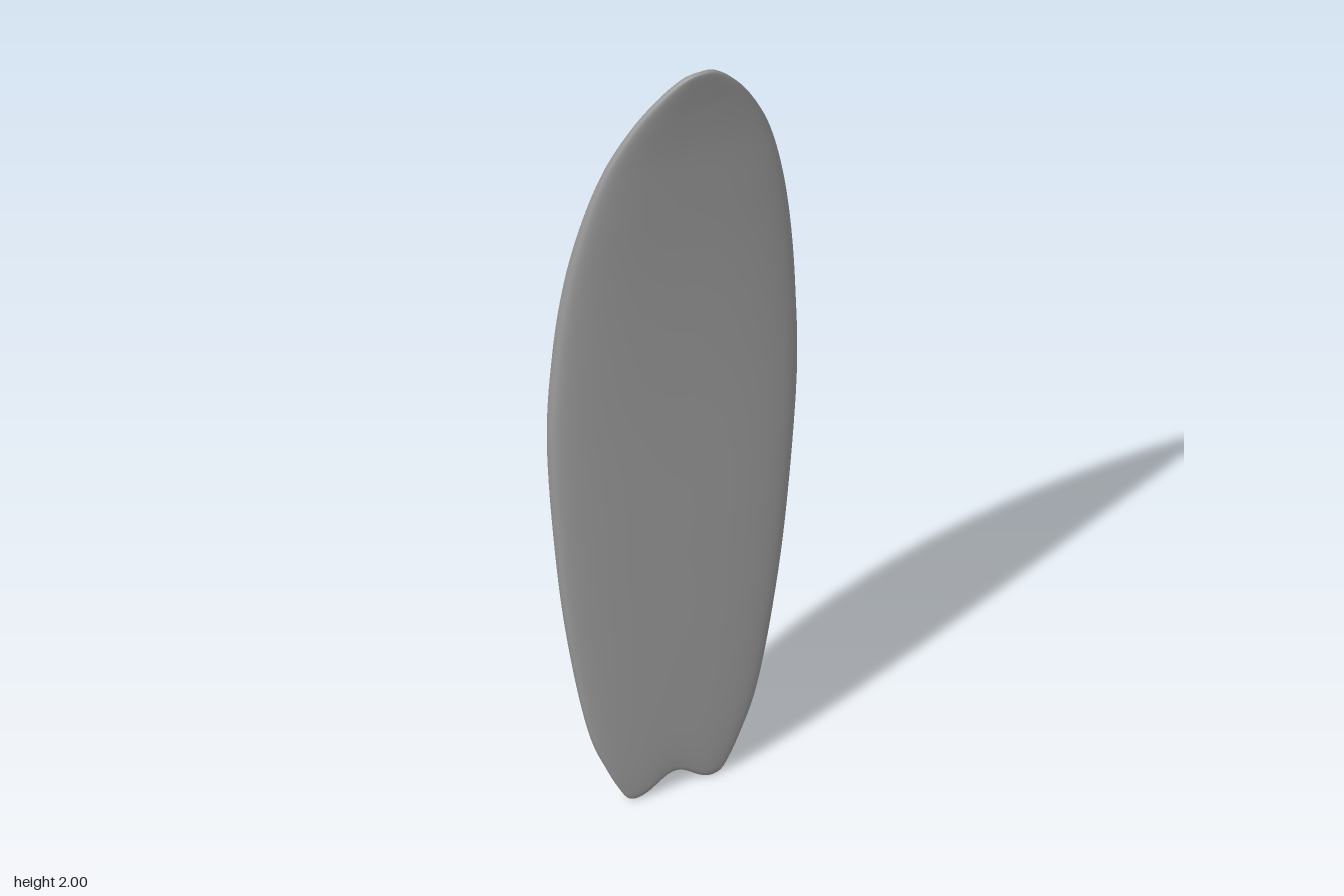
import * as THREE from 'three';

const material = new THREE.MeshStandardMaterial({ color: 0x9a9a9a });

// Stations from tail to nose: height, half width, bottom z, deck z
const stations = [
  [0, 0.096, 0.02, 0.02],
  [0.008, 0.112, 0.013, 0.027],
  [0.03, 0.128, 0.008, 0.031],
  [0.09, 0.158, 0.001, 0.035],
  [0.2, 0.2, -0.009, 0.038],
  [0.4, 0.24, -0.018, 0.041],
  [0.65, 0.273, -0.024, 0.044],
  [1.0, 0.298, -0.027, 0.049],
  [1.25, 0.29, -0.018, 0.058],
  [1.45, 0.27, 0.001, 0.07],
  [1.62, 0.238, 0.028, 0.085],
  [1.76, 0.196, 0.056, 0.1],
  [1.87, 0.141, 0.085, 0.118],
  [1.94, 0.09, 0.107, 0.133],
  [1.98, 0.05, 0.122, 0.142],
  [1.995, 0.025, 0.131, 0.144],
  [2.0, 0, 0.14, 0.14],
];

// Board: loops of flat, squared-off ovals; the tail rows are lifted into a swallow notch
function boardGeometry(rows = 112, cols = 96) {
  const plan = new THREE.CatmullRomCurve3(
    stations.map(([y, w]) => new THREE.Vector3(w, y, 0)), false, 'catmullrom', 0.5);
  const rocker = new THREE.CatmullRomCurve3(
    stations.map(([, , b, d]) => new THREE.Vector3(b, d, 0)), false, 'catmullrom', 0.5);
  const positions = [], index = [];
  for (let i = 0; i <= rows; i++) {
    const { x: w, y } = plan.getPoint(i / rows);
    const { x: back, y: front } = rocker.getPoint(i / rows);
    const mid = (back + front) / 2, half = Math.max(0, (front - back) / 2);
    const fade = Math.max(0, 1 - y / 0.3) ** 2;
    for (let j = 0; j < cols; j++) {
      const a = (j / cols) * Math.PI * 2;
      const c = Math.cos(a), s = Math.sin(a);
      const n = s > 0 ? 3 : 4; // softer deck, flatter bottom
      const rise = Math.max(0, 1 - Math.abs(c) ** n) ** (1 / n);
      const x = w * c;
      const notch = Math.abs(x) < 0.09 ? 0.021 * (1 + Math.cos((Math.PI * x) / 0.09)) : 0;
      positions.push(x, y + notch * fade, mid + Math.sign(s) * half * rise);
      if (i < rows) {
        const k = (j + 1) % cols, r = i * cols, q = r + cols;
        index.push(r + j, q + j, r + k, r + k, q + j, q + k);
      }
    }
  }
  const geometry = new THREE.BufferGeometry();
  geometry.setAttribute('position', new THREE.Float32BufferAttribute(positions, 3));
  geometry.setIndex(index);
  geometry.computeVertexNormals();
  return geometry;
}

// Fin: raked blade with a cutaway behind the base, root sunk in the board
function finGeometry() {
  const v = (d, y) => new THREE.Vector2(d, y);
  const shape = new THREE.Shape();
  shape.moveTo(-0.005, 0.085);
  shape.lineTo(0.015, 0.08);
  shape.splineThru([v(0.05, 0.064), v(0.09, 0.031), v(0.12, -0.015), v(0.133, -0.058),
    v(0.132, -0.09), v(0.122, -0.107), v(0.111, -0.1), v(0.101, -0.073), v(0.086, -0.047),
    v(0.069, -0.038), v(0.055, -0.048), v(0.049, -0.068), v(0.041, -0.079)]);
  shape.lineTo(0.015, -0.07);
  shape.lineTo(-0.005, -0.063);
  shape.closePath();
  const geometry = new THREE.ExtrudeGeometry(shape, {
    depth: 0.003, bevelEnabled: true, bevelThickness: 0.0015, bevelSize: 0.0015,
    bevelOffset: -0.001, bevelSegments: 2, curveSegments: 48,
  });
  geometry.translate(0, 0, -0.0015);
  geometry.rotateY(Math.PI / 2); // blade points to the back
  return geometry;
}

export function createModel() {
  const model = new THREE.Group();
  model.name = 'surfboard';
  const add = (name, geometry) => {
    const mesh = new THREE.Mesh(geometry, material);
    mesh.name = name;
    model.add(mesh);
    return mesh;
  };

  add('board', boardGeometry());

  // One centre fin and a pair of toed-in side fins
  const fin = finGeometry();
  add('centreFin', fin).position.set(-0.002, 0.219, -0.002);
  for (const side of [-1, 1]) {
    const mesh = add(side > 0 ? 'leftFin' : 'rightFin', fin);
    mesh.position.set(side * 0.134, 0.43, -0.011);
    mesh.rotation.z = side * 0.08;
  }
  return model;
}
